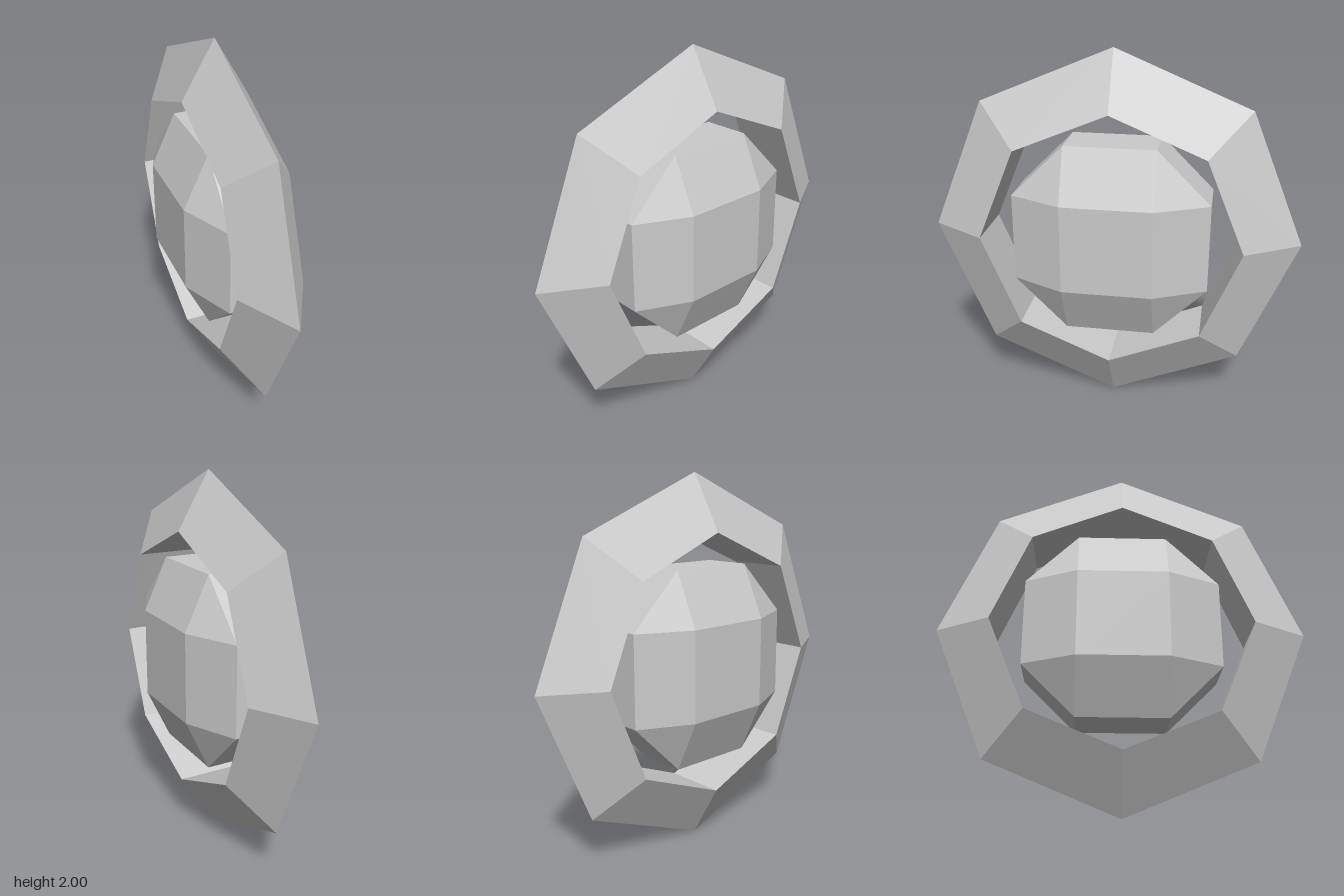
import * as THREE from 'three';
import { ConvexGeometry } from 'three/addons/geometries/ConvexGeometry.js';

export function createModel() {
  const model = new THREE.Group();
  const material = new THREE.MeshStandardMaterial({ color: 0xcccccc, flatShading: true });

  // Eight-sided ring with a triangular section, standing upright and facing sideways
  const ring = new THREE.Mesh(new THREE.TorusGeometry(0.8, 0.2, 3, 8).rotateY(Math.PI / 2), material);
  ring.name = 'ring';
  ring.position.y = 1;
  model.add(ring);

  // Faceted gem: a flattened block with every edge and corner cut off
  const wide = 0.524, narrow = 0.241, thick = 0.262, rim = 0.131;
  const points = [];
  for (const sx of [-1, 1]) for (const sy of [-1, 1]) for (const sz of [-1, 1]) {
    points.push(
      new THREE.Vector3(sx * thick, sy * narrow, sz * narrow),
      new THREE.Vector3(sx * rim, sy * wide, sz * narrow),
      new THREE.Vector3(sx * rim, sy * narrow, sz * wide)
    );
  }
  const gem = new THREE.Mesh(new ConvexGeometry(points), material);
  gem.name = 'gem';
  gem.position.y = 1;
  model.add(gem);

  return model;
}
